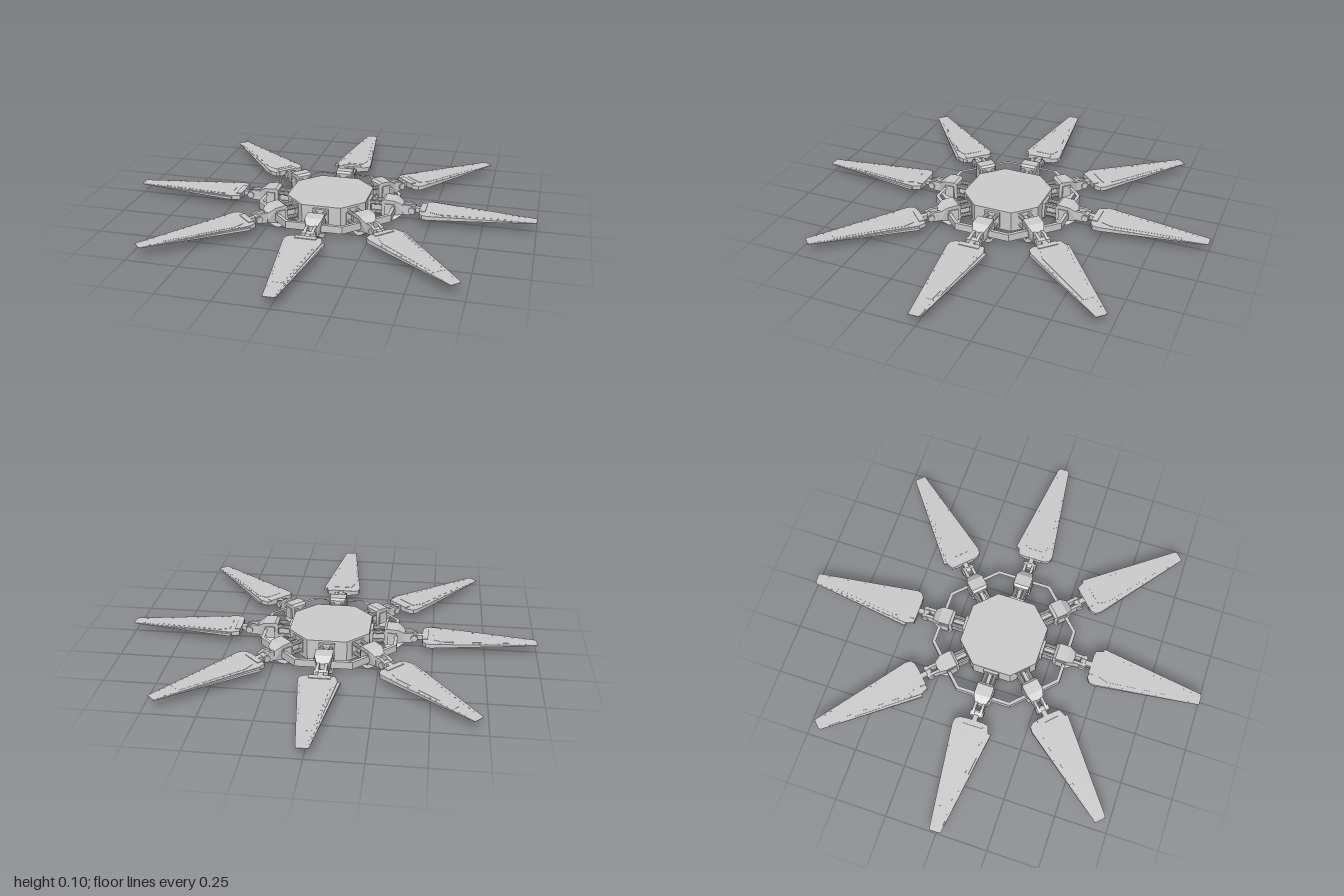
import * as THREE from 'three';

const mat = new THREE.MeshStandardMaterial({ color: 0xcccccc, flatShading: true });
const MID = 0.053;

function add(parent, name, geo, x = 0, y = 0, z = 0) {
  const mesh = new THREE.Mesh(geo, mat);
  mesh.name = name;
  mesh.position.set(x, y, z);
  parent.add(mesh);
  return mesh;
}

const shapeOf = (pts) => new THREE.Shape(pts.map(([x, y]) => new THREE.Vector2(x, y)));

// Extrudes a plan outline (x, z) into a plate centred on y = 0.
function plate(shape, height) {
  const geo = new THREE.ExtrudeGeometry(shape, { depth: height, bevelEnabled: false });
  return geo.translate(0, 0, -height / 2).rotateX(Math.PI / 2);
}

// Extrudes a side profile (x, y) centred on z = 0.
function profile(pts, width) {
  return new THREE.ExtrudeGeometry(shapeOf(pts), { depth: width, bevelEnabled: false })
    .translate(0, 0, -width / 2);
}

// Moves every vertex by a rule, then refreshes the normals.
function reshape(geo, rule) {
  const p = geo.attributes.position;
  const v = new THREE.Vector3();
  for (let i = 0; i < p.count; i++) {
    rule(v.fromBufferAttribute(p, i));
    p.setXYZ(i, v.x, v.y, v.z);
  }
  geo.computeVertexNormals();
  return geo;
}

// Blades are thick at the root and nearly paper thin at the tip.
const thin = (geo) => reshape(geo, (v) => {
  v.y *= 1 - 0.87 * THREE.MathUtils.clamp((v.x - 0.45) / 0.55, 0, 1);
});

const octagon = (a, s) => [[s, a], [a, s], [a, -s], [s, -a], [-s, -a], [-a, -s], [-a, s], [-s, a]];

function createBlade() {
  const blade = new THREE.Group();
  blade.name = 'blade';
  blade.position.y = MID;
  add(blade, 'bladePlate', thin(plate(shapeOf([
    [0.45, -0.07], [0.49, -0.084], [1, -0.02], [1, 0.03],
    [0.49, 0.097], [0.465, 0.092], [0.45, 0.07],
  ]), 0.022)));
  // Separate strip along the leading edge
  add(blade, 'edgeStrip', thin(plate(shapeOf([
    [0.488, -0.097], [0.995, -0.026], [0.995, -0.019], [0.488, -0.08],
  ]), 0.014)));
  // Slightly raised panel on both faces
  add(blade, 'bladePanel', thin(plate(shapeOf([
    [0.5, -0.045], [0.55, -0.06], [0.88, -0.02], [0.88, 0.027], [0.55, 0.065], [0.5, 0.05],
  ]), 0.025)));
  // Rivets along both edges
  const rivet = new THREE.BoxGeometry(0.008, 1, 0.003);
  for (let i = 0; i < 14; i++) {
    const t = (i + 0.5) / 14;
    const x = 0.52 + 0.44 * t;
    const h = 0.022 * (1 - 0.87 * (x - 0.45) / 0.55) + 0.0016;
    for (const [a, b] of [[-0.072, -0.018], [0.084, 0.028]]) {
      add(blade, 'rivet', rivet, x, 0, a + (b - a) * t).scale.y = h;
    }
  }
  // Thick root clamp
  add(blade, 'rootClamp', new THREE.BoxGeometry(0.028, 0.028, 0.1), 0.462, 0, 0);
  return blade;
}

function createArm() {
  const arm = new THREE.Group();
  arm.name = 'arm';
  // Socket, paired rods and core bar between hub and shoulder
  add(arm, 'hubSocket', new THREE.BoxGeometry(0.03, 0.08, 0.075), 0.192, MID, 0);
  const rod = new THREE.CylinderGeometry(0.0095, 0.0095, 0.1, 10).rotateZ(Math.PI / 2);
  for (const z of [-0.023, 0.023]) {
    for (const y of [0.03, 0.077]) add(arm, 'rod', rod, 0.235, y, z);
  }
  add(arm, 'coreBar', new THREE.BoxGeometry(0.1, 0.04, 0.018), 0.235, MID, 0);

  // Shoulder block, sloped and narrowed toward the blade
  const shoulder = profile([
    [0.262, 0.012], [0.275, 0], [0.315, 0], [0.33, 0.006], [0.365, 0.03],
    [0.365, 0.076], [0.33, 0.1], [0.275, 0.104], [0.262, 0.095],
  ], 0.084);
  add(arm, 'shoulder', reshape(shoulder, (v) => {
    if (v.x > 0.34) v.z *= 0.65;
    if (v.x < 0.27) v.z *= 0.85;
  }));
  for (const z of [-0.042, 0.042]) {
    add(arm, 'sidePlate', new THREE.BoxGeometry(0.045, 0.06, 0.008), 0.3, MID, z);
  }

  // Fork and hinge barrel that carry the blade
  for (const z of [-0.019, 0.019]) {
    add(arm, 'forkTine', profile([
      [0.355, 0.028], [0.395, 0.03], [0.425, 0.04], [0.425, 0.068], [0.395, 0.08], [0.355, 0.078],
    ], 0.014), 0, 0, z);
  }
  add(arm, 'hingeBarrel', new THREE.CylinderGeometry(0.017, 0.017, 0.066, 12).rotateX(Math.PI / 2),
    0.408, MID, 0);
  add(arm, 'hingeTongue', new THREE.BoxGeometry(0.07, 0.022, 0.024), 0.427, MID, 0);
  arm.add(createBlade());
  return arm;
}

export function createModel() {
  const model = new THREE.Group();
  model.name = 'eightBladeRotor';

  // Central hub
  add(model, 'hub', plate(shapeOf(octagon(0.194, 0.095)), 0.104), 0, 0.052, 0);

  // Octagonal brace linking the shoulders
  const ring = shapeOf(octagon(0.328, 0.136));
  ring.holes.push(new THREE.Path(octagon(0.312, 0.129).map(([x, y]) => new THREE.Vector2(x, y))));
  add(model, 'braceRing', plate(ring, 0.036), 0, MID, 0);

  // Eight identical arms
  const arm = createArm();
  for (let i = 0; i < 8; i++) {
    const copy = arm.clone();
    copy.rotation.y = (i * Math.PI) / 4;
    model.add(copy);
  }
  return model;
}
